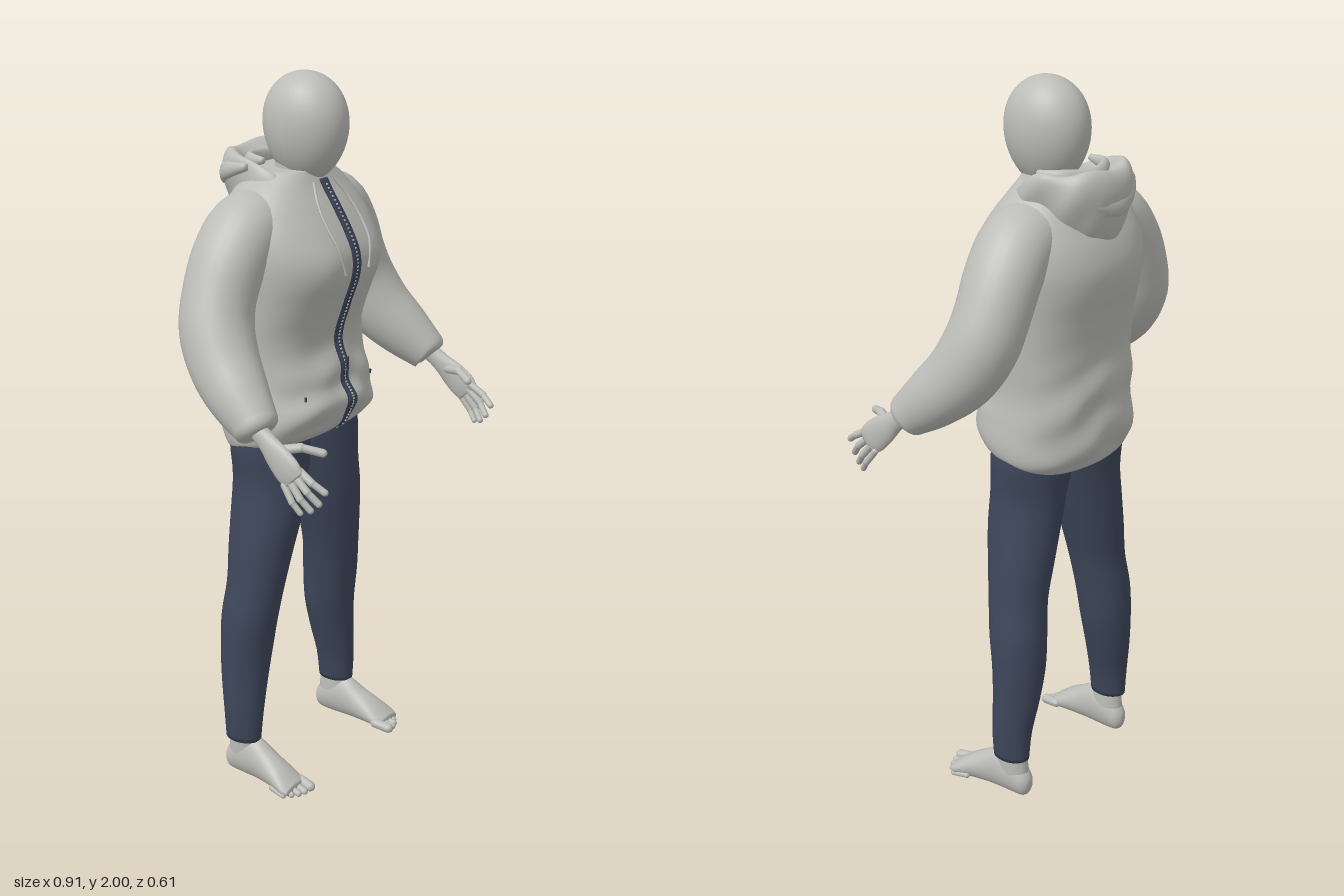
import * as THREE from 'three';
import { mergeGeometries } from 'three/addons/utils/BufferGeometryUtils.js';

const V = (x, y, z) => new THREE.Vector3(x, y, z);
const TAU = Math.PI * 2;

// Smoothly interpolate rows of numbers at fractional index t
function rowAt(rows, t) {
  const last = rows.length - 1;
  const i = Math.min(Math.floor(t), last - 1), u = t - i;
  const a = rows[Math.max(i - 1, 0)], b = rows[i], c = rows[i + 1], d = rows[Math.min(i + 2, last)];
  return b.map((_, k) => 0.5 * (2 * b[k] + (c[k] - a[k]) * u + (2 * a[k] - 5 * b[k] + 4 * c[k] - d[k]) * u * u
    + (3 * b[k] - a[k] - 3 * c[k] + d[k]) * u * u * u));
}

// Rows resampled evenly, n steps per span
function refine(rows, n) {
  const count = (rows.length - 1) * n;
  return Array.from({ length: count + 1 }, (_, i) => rowAt(rows, i / n));
}

// Closed skin over a list of rings, always facing outwards
function loft(rings) {
  const m = rings[0].length, pts = rings.flat(), index = [];
  for (let i = 0; i < rings.length - 1; i++) {
    for (let j = 0; j < m; j++) {
      const a = i * m + j, b = i * m + (j + 1) % m;
      index.push(a, b, a + m, b, b + m, a + m);
    }
  }
  [0, rings.length - 1].forEach((r, end) => {
    const c = pts.length, mid = V(0, 0, 0);
    rings[r].forEach((p) => mid.addScaledVector(p, 1 / m));
    pts.push(mid);
    for (let j = 0; j < m; j++) {
      const a = r * m + j, b = r * m + (j + 1) % m;
      index.push(c, end ? a : b, end ? b : a);
    }
  });
  let volume = 0;
  for (let i = 0; i < index.length; i += 3) {
    volume += pts[index[i]].dot(V(0, 0, 0).crossVectors(pts[index[i + 1]], pts[index[i + 2]]));
  }
  if (volume < 0) index.reverse();
  const g = new THREE.BufferGeometry().setFromPoints(pts);
  g.setIndex(index);
  g.computeVertexNormals();
  return g;
}

const ring = (n, f) => Array.from({ length: n }, (_, j) => f(Math.cos(j / n * TAU), Math.sin(j / n * TAU), j / n * TAU));

// Upright limb from rows [y, centreX, centreZ, radiusX, radiusZ]
const column = (rows) => loft(refine(rows, 4).map(([y, x, z, rx, rz]) => ring(32, (c, s) => V(x + rx * c, y, z + rz * s))));

// Limb along a bent path from rows [x, y, z, radiusAlongRef, radiusAcross]
function sweep(rows, ref, sides = 28) {
  const fine = refine(rows, 4);
  return loft(fine.map((r, i) => {
    const p = fine[Math.max(i - 1, 0)], q = fine[Math.min(i + 1, fine.length - 1)];
    const t = V(q[0] - p[0], q[1] - p[1], q[2] - p[2]).normalize();
    const u = ref.clone().addScaledVector(t, -ref.dot(t)).normalize();
    const v = V(0, 0, 0).crossVectors(t, u);
    return ring(sides, (c, s) => V(r[0], r[1], r[2]).addScaledVector(u, c * r[3]).addScaledVector(v, s * r[4]));
  }));
}

// Rounded stick between two points
function stick(a, b, r) {
  const d = b.clone().sub(a);
  const g = new THREE.CapsuleGeometry(r, d.length(), 5, 12);
  g.applyQuaternion(new THREE.Quaternion().setFromUnitVectors(V(0, 1, 0), d.clone().normalize()));
  g.translate((a.x + b.x) / 2, (a.y + b.y) / 2, (a.z + b.z) / 2);
  g.deleteAttribute('uv');
  return g;
}

function mirrored(geo) {
  const g = geo.clone().scale(-1, 1, 1);
  g.setIndex(Array.from(g.index.array).reverse());
  g.computeVertexNormals();
  return g;
}

// Jacket body: rows of [y, halfWidth, frontZ, backZ]
const BODY = [
  [1.0, 0.205, 0.02, -0.225], [1.02, 0.224, 0.055, -0.25], [1.06, 0.23, 0.08, -0.27], [1.12, 0.224, 0.083, -0.277],
  [1.2, 0.214, 0.065, -0.272], [1.3, 0.22, 0.042, -0.262], [1.4, 0.228, 0.07, -0.275], [1.48, 0.235, 0.096, -0.293],
  [1.54, 0.238, 0.096, -0.296], [1.6, 0.232, 0.07, -0.28], [1.66, 0.208, 0.033, -0.25], [1.71, 0.165, 0.0, -0.22],
  [1.75, 0.11, -0.02, -0.19],
];
const SQUARE = 2.4;

// Cloth folds near the hem and the fullness of the chest
function fold(x, y, front) {
  const low = THREE.MathUtils.smoothstep(1.36 - y, 0, 0.2) * THREE.MathUtils.smoothstep(y, 1.0, 1.05);
  const waves = Math.sin(y * 52 + Math.abs(x) * 16 + x * 7) + 0.6 * Math.sin(y * 31 - x * 34 + (front ? 0 : 2));
  const chest = front ? Math.exp(-(((Math.abs(x) - 0.11) / 0.07) ** 2) - ((y - 1.5) / 0.08) ** 2) : 0;
  return 0.006 * low * waves + 0.012 * chest;
}

function bodyPoint(row, x, s) {
  const [y, , front, back] = row;
  const z = (front + back) / 2 + s * ((front - back) / 2 + fold(x, y, s > 0));
  const tilt = 1 - THREE.MathUtils.smoothstep(y, 1.0, 1.25);
  return V(x, y + tilt * (0.22 * (z + 0.1)), z);
}

// Point on the jacket front, lifted off the cloth
function frontPoint(x, y, lift) {
  let i = 0;
  while (i < BODY.length - 2 && BODY[i + 1][0] < y) i++;
  const row = rowAt(BODY, i + (y - BODY[i][0]) / (BODY[i + 1][0] - BODY[i][0]));
  row[0] = y;
  const p = bodyPoint(row, x, (1 - Math.abs(x / row[1]) ** SQUARE) ** (1 / SQUARE));
  p.z += lift;
  return p;
}

const power = (v, n) => Math.sign(v) * Math.abs(v) ** (2 / n);

export function createModel() {
  const model = new THREE.Group();
  const grey = new THREE.MeshStandardMaterial({ name: 'lightGrey', color: 0xbcbcb8 });
  const navy = new THREE.MeshStandardMaterial({ name: 'navy', color: 0x3d465a });
  const add = (name, geo, mat) => {
    const mesh = new THREE.Mesh(geo, mat);
    mesh.name = name;
    model.add(mesh);
    return mesh;
  };
  const pair = (name, geo, mat) => {
    add('left' + name, geo, mat);
    add('right' + name, mirrored(geo), mat);
  };

  // Egg-shaped head and neck
  const head = new THREE.SphereGeometry(1, 48, 32);
  const hp = head.attributes.position;
  for (let i = 0; i < hp.count; i++) {
    const y = hp.getY(i), k = 1 + 0.09 * y;
    hp.setXYZ(i, hp.getX(i) * 0.096 * k, 1.855 + 0.145 * y, -0.063 + hp.getZ(i) * 0.122 * k);
  }
  head.computeVertexNormals();
  add('head', head, grey);
  add('neck', new THREE.CylinderGeometry(0.06, 0.07, 0.14, 32).translate(0, 1.74, -0.085), grey);

  // Jacket body and sleeves
  add('jacketBody', loft(refine(BODY, 6).map((row) =>
    ring(72, (c, s) => bodyPoint(row, row[1] * power(c, SQUARE), power(s, SQUARE))))), grey);
  pair('Sleeve', sweep([
    [0.1, 1.63, -0.12, 0.09, 0.08], [0.185, 1.61, -0.12, 0.103, 0.094], [0.25, 1.54, -0.125, 0.104, 0.094],
    [0.295, 1.45, -0.125, 0.1, 0.094], [0.325, 1.37, -0.11, 0.1, 0.096], [0.35, 1.29, -0.065, 0.095, 0.092],
    [0.375, 1.225, 0, 0.083, 0.08], [0.393, 1.175, 0.06, 0.066, 0.062], [0.4, 1.16, 0.08, 0.058, 0.055],
    [0.402, 1.152, 0.088, 0.04, 0.036],
  ], V(0, 0, 1)), grey);

  // Lowered hood: a soft bowl round the neck, rows of [y, radiusX, frontZ, backZ]
  const hoodRows = [
    [1.59, 0.06, -0.12, -0.265], [1.63, 0.105, -0.06, -0.285], [1.68, 0.135, -0.02, -0.296], [1.73, 0.15, 0.0, -0.303],
    [1.77, 0.15, 0.0, -0.295], [1.79, 0.138, -0.012, -0.275], [1.775, 0.118, -0.025, -0.25], [1.74, 0.1, -0.03, -0.21],
    [1.72, 0.06, -0.04, -0.16],
  ];
  add('hood', loft(refine(hoodRows, 4).map(([y, rx, front, back]) => ring(64, (c, s, a) => {
    const z = (front + back) / 2 + (front - back) / 2 * power(s, 2.3);
    const drop = 0.09 * THREE.MathUtils.smoothstep(z, -0.19, 0.02);
    const wave = 1 + 0.025 * Math.sin(a * 7 + y * 40);
    return V(rx * wave * power(c, 2.3) + 0.008, y - drop + 0.006 * Math.sin(a * 5 + 1), z);
  }))), grey);
  const drape = (x, y, zSide, zBack, sag, r) => sweep([
    [-x, y, zSide, r * 0.4, r * 0.4], [-x * 0.8, y - sag * 0.4, (zSide + zBack * 2) / 3, r, r * 0.6],
    [0, y - sag, zBack, r * 1.2, r * 0.7], [x * 0.8, y - sag * 0.4, (zSide + zBack * 2) / 3, r, r * 0.6],
    [x, y, zSide, r * 0.4, r * 0.4],
  ], V(0, 1, 0.2), 16);
  add('hoodInnerFold', drape(0.11, 1.775, -0.12, -0.215, 0.02, 0.022), grey);
  add('hoodOuterFold', drape(0.145, 1.76, -0.15, -0.288, 0.06, 0.026), grey);

  // Zip tape, teeth and pull
  const steps = 90, tape = [];
  for (let i = 0; i <= steps; i++) {
    const y = 1.005 + 0.72 * i / steps;
    tape.push(ring(4, (c, s, a) => frontPoint(a < 1 || a > 4 ? 0.016 : -0.016, y, a < 3 ? 0.005 : -0.004)));
  }
  add('zipTape', loft(tape), navy);
  const teeth = [];
  for (let i = 0; i < 72; i++) {
    const p = frontPoint(0, 1.01 + 0.71 * i / 72, 0.005);
    teeth.push(new THREE.BoxGeometry(0.006, 0.004, 0.004).translate(p.x, p.y, p.z));
  }
  add('zipTeeth', mergeGeometries(teeth), grey);
  const pull = frontPoint(0.004, 1.23, 0.008);
  add('zipPull', new THREE.BoxGeometry(0.012, 0.03, 0.006).translate(pull.x, pull.y, pull.z), navy);

  // Drawstrings and pocket studs on the chest
  const cord = new THREE.CatmullRomCurve3([[0.045, 1.72], [0.068, 1.67], [0.076, 1.62], [0.07, 1.56], [0.052, 1.49]]
    .map(([x, y]) => frontPoint(x, y, 0.004)));
  pair('Drawstring', new THREE.TubeGeometry(cord, 40, 0.004, 8), grey);
  const stud = frontPoint(0.15, 1.15, 0.001);
  pair('PocketStud', new THREE.BoxGeometry(0.005, 0.012, 0.006).translate(stud.x, stud.y, stud.z), navy);

  // Trouser legs
  pair('TrouserLeg', column([
    [0.12, 0.228, -0.125, 0.042, 0.055], [0.2, 0.225, -0.125, 0.05, 0.06], [0.3, 0.212, -0.13, 0.063, 0.068],
    [0.4, 0.2, -0.13, 0.075, 0.075], [0.5, 0.193, -0.122, 0.078, 0.082], [0.6, 0.178, -0.11, 0.078, 0.085],
    [0.7, 0.16, -0.105, 0.085, 0.095], [0.8, 0.14, -0.1, 0.09, 0.105], [0.9, 0.121, -0.1, 0.097, 0.108],
    [1.0, 0.112, -0.105, 0.112, 0.112], [1.08, 0.11, -0.105, 0.108, 0.11],
  ]), navy);

  // Bare feet: ankle, flat-soled foot and toes
  pair('Ankle', column([[0.04, 0.222, -0.128, 0.034, 0.05], [0.09, 0.223, -0.125, 0.035, 0.05], [0.15, 0.226, -0.122, 0.034, 0.046]]), grey);
  const footRows = [
    [-0.187, 0.222, 0.04, 0.01, 0.016], [-0.172, 0.222, 0.042, 0.028, 0.04], [-0.13, 0.222, 0.06, 0.036, 0.062],
    [-0.08, 0.224, 0.062, 0.037, 0.064], [-0.03, 0.227, 0.048, 0.041, 0.05], [0.02, 0.232, 0.033, 0.047, 0.035],
    [0.05, 0.235, 0.022, 0.049, 0.023], [0.068, 0.235, 0.017, 0.043, 0.014],
  ];
  pair('Foot', loft(refine(footRows, 4).map(([z, x, y, rx, ry]) =>
    ring(32, (c, s) => V(x + rx * c, Math.max(y + ry * s, 0), z)))), grey);
  const toes = [];
  for (let i = 0; i < 5; i++) {
    const x = [0.2, 0.224, 0.243, 0.26, 0.276][i], tip = [0.092, 0.09, 0.083, 0.07, 0.053][i];
    const r = i ? 0.0105 - i * 0.0005 : 0.0145;
    toes.push(stick(V(x - 0.006, r + 0.006, tip - 0.045), V(x, r, tip), r));
  }
  pair('Toes', mergeGeometries(toes), grey);

  // Hands: palm, four bent fingers and a thumb
  pair('Palm', sweep([
    [0.402, 1.17, 0.068, 0.027, 0.023], [0.407, 1.138, 0.112, 0.028, 0.02], [0.413, 1.105, 0.152, 0.039, 0.018],
    [0.416, 1.075, 0.187, 0.043, 0.016], [0.417, 1.055, 0.207, 0.036, 0.011],
  ], V(0, 0.78, 0.62), 24), grey);
  const fingers = [];
  const digit = (a, b, c, r) => fingers.push(stick(a, b, r), stick(b, c, r * 0.88));
  digit(V(0.41, 1.084, 0.215), V(0.412, 1.06, 0.258), V(0.401, 1.038, 0.29), 0.0105);
  digit(V(0.414, 1.068, 0.205), V(0.416, 1.034, 0.246), V(0.404, 1.004, 0.273), 0.0105);
  digit(V(0.418, 1.052, 0.193), V(0.421, 1.012, 0.228), V(0.41, 0.983, 0.252), 0.01);
  digit(V(0.422, 1.038, 0.178), V(0.427, 1.0, 0.207), V(0.42, 0.974, 0.227), 0.009);
  digit(V(0.403, 1.118, 0.14), V(0.376, 1.13, 0.197), V(0.347, 1.117, 0.245), 0.0125);
  pair('Fingers', mergeGeometries(fingers), grey);

  return model;
}
